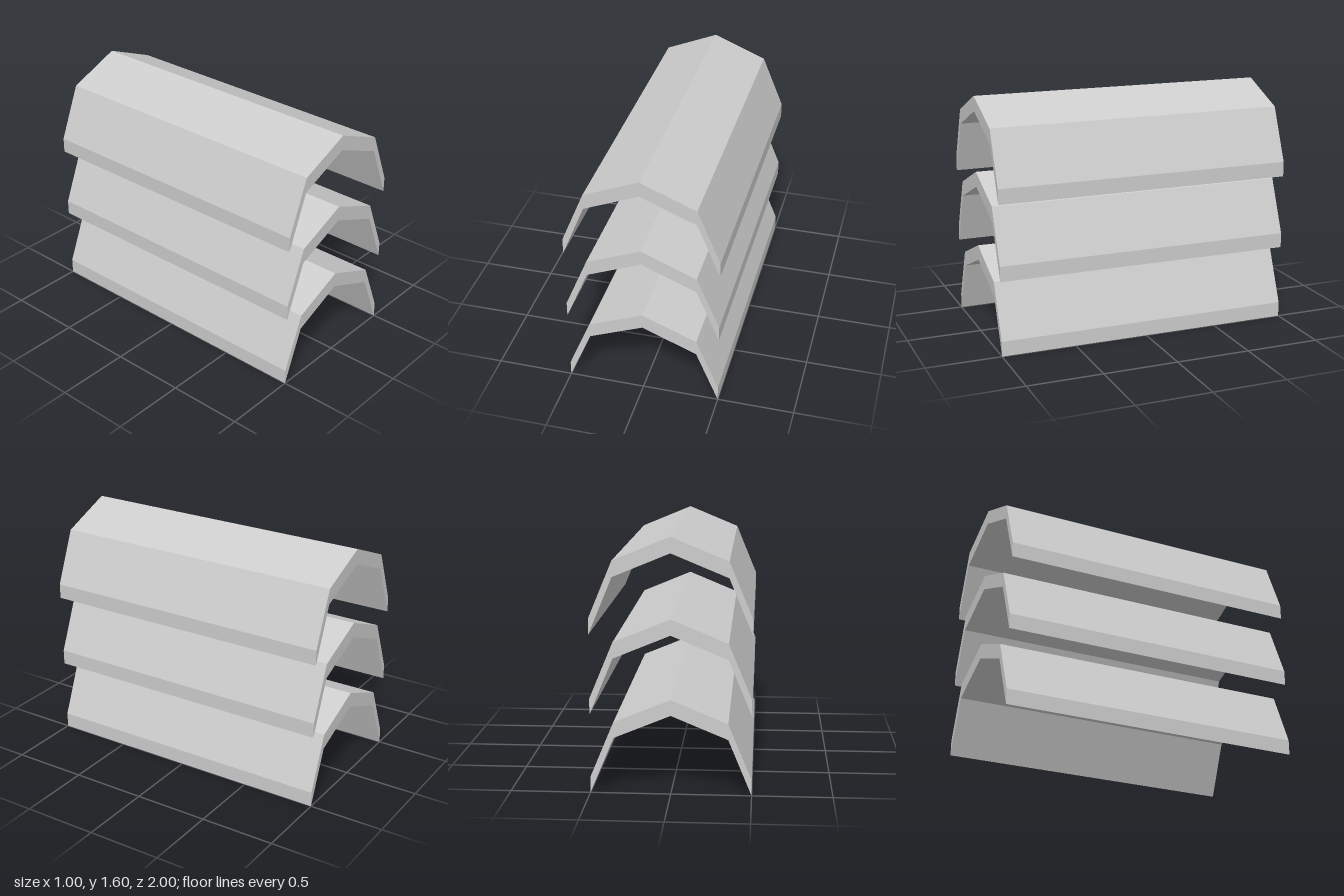
import * as THREE from 'three';

const LENGTH = 2, THICKNESS = 0.1, SPACING = 0.5, RADIUS = 0.5;

export function createModel() {
  const group = new THREE.Group();
  const grey = new THREE.MeshStandardMaterial({ color: 0xcccccc });
  grey.name = 'light grey';

  // Half-octagon arch, five points from right foot to left foot
  const arch = [];
  for (let i = 0; i <= 4; i++) {
    const a = (i * Math.PI) / 4;
    arch.push(new THREE.Vector2(RADIUS * Math.cos(a), RADIUS * Math.sin(a)));
  }

  // Closed band: the arch, and the same arch raised straight up
  const raised = arch.map((p) => new THREE.Vector2(p.x, p.y + THICKNESS));
  const band = new THREE.Shape([...raised, ...arch.reverse()]);
  const geometry = new THREE.ExtrudeGeometry(band, { depth: LENGTH, bevelEnabled: false });
  geometry.translate(0, 0, -LENGTH / 2);

  // Three identical vault sheets, stacked
  ['lowerVault', 'middleVault', 'upperVault'].forEach((name, i) => {
    const vault = new THREE.Mesh(geometry, grey);
    vault.name = name;
    vault.position.y = i * SPACING;
    group.add(vault);
  });

  return group;
}
